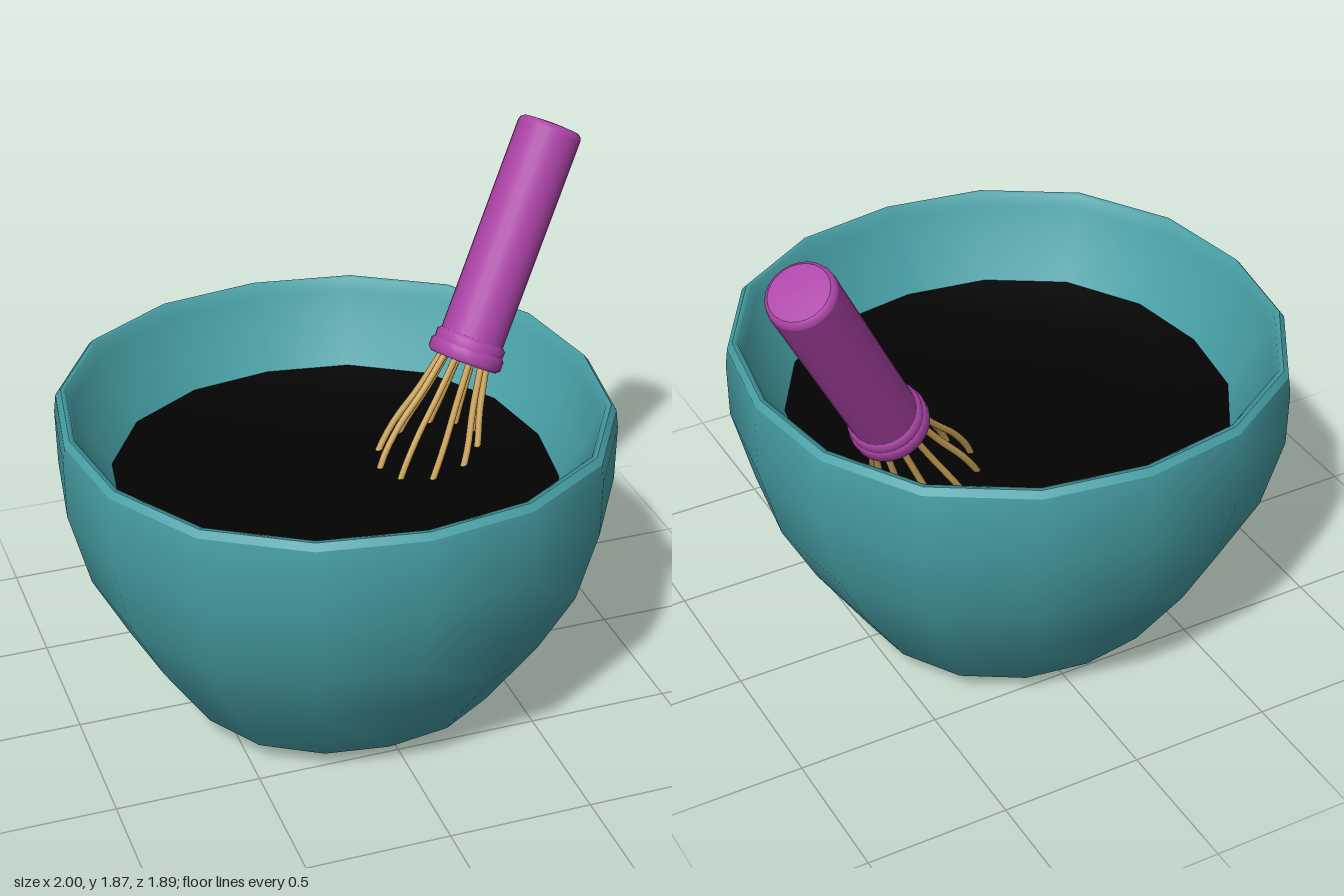
import * as THREE from 'three';

const SIDES = 16;

function material(name, color) {
  const m = new THREE.MeshStandardMaterial({ color });
  m.name = name;
  return m;
}

function lathe(name, points, sides, mat) {
  const geometry = new THREE.LatheGeometry(points.map(([r, y]) => new THREE.Vector2(r, y)), sides);
  const mesh = new THREE.Mesh(geometry, mat);
  mesh.name = name;
  return mesh;
}

// Push a round part out a little on its diagonals
function squareOff(mesh, amount) {
  const p = mesh.geometry.attributes.position;
  for (let i = 0; i < p.count; i++) {
    const x = p.getX(i), z = p.getZ(i);
    const k = 1 + amount * Math.sin(2 * Math.atan2(x, z)) ** 2;
    p.setXYZ(i, x * k, p.getY(i), z * k);
  }
  return mesh;
}

function createBowl(teal, black) {
  const bowl = new THREE.Group();
  bowl.name = 'bowl';

  // From the middle of the base up to the rim
  bowl.add(lathe('bowlOutside', [
    [0, 0], [0.22, 0.005], [0.42, 0.02], [0.51, 0.04], [0.57, 0.075],
    [0.75, 0.35], [0.87, 0.58], [0.94, 0.85], [0.943, 1.05], [0.935, 1.115],
  ], SIDES, teal));
  // Bevelled edge
  bowl.add(lathe('bowlRim', [[0.935, 1.115], [0.917, 1.137]], SIDES, teal));
  // Over the rim and down the thickening wall to the mixture
  bowl.add(lathe('bowlInside', [
    [0.917, 1.137], [0.9, 1.135], [0.885, 1.09], [0.83, 0.97], [0.757, 0.848],
  ], SIDES, teal));
  // Dark mixture, dished toward the middle
  bowl.add(lathe('mixture', [
    [0.757, 0.848], [0.6, 0.8], [0.4, 0.77], [0.2, 0.757], [0, 0.755],
  ], SIDES, black));

  bowl.children.forEach((part) => squareOff(part, 0.032));
  bowl.position.x = -0.057;
  return bowl;
}

function createWhisk(purple, gold) {
  const whisk = new THREE.Group();
  whisk.name = 'whisk';

  // Straight handle with a narrow bevel at the end
  whisk.add(lathe('handle', [[0.115, 0.05], [0.116, 0.86]], 24, purple));
  whisk.add(lathe('handleBevel', [[0.116, 0.86], [0.112, 0.875], [0.1, 0.884]], 24, purple));
  whisk.add(lathe('handleEnd', [[0.1, 0.884], [0.05, 0.888], [0, 0.889]], 24, purple));

  // Stepped collar
  whisk.add(lathe('collarBottom', [[0, 0], [0.122, 0]], 24, purple));
  whisk.add(lathe('collarRing', [[0.122, 0], [0.135, 0.012], [0.135, 0.045], [0.126, 0.055]], 24, purple));
  whisk.add(lathe('collarStep', [[0.126, 0.055], [0.128, 0.08], [0.115, 0.092]], 24, purple));

  // Wire loops that bulge out below the collar and meet at the tip
  const profile = [[0.08, 0.02], [0.115, -0.14], [0.16, -0.3], [0.17, -0.45], [0.12, -0.6]];
  const loop = [
    ...profile, [0, -0.68],
    ...profile.slice().reverse().map(([r, y]) => [-r, y]),
  ].map(([r, y]) => new THREE.Vector3(r, y, 0));
  const wire = new THREE.TubeGeometry(new THREE.CatmullRomCurve3(loop), 40, 0.012, 8);
  for (let i = 0; i < 5; i++) {
    const mesh = new THREE.Mesh(wire, gold);
    mesh.name = 'whiskWire';
    mesh.rotation.y = (i * Math.PI) / 5 + 0.1;
    whisk.add(mesh);
  }

  // Lean toward the model's left and back
  const axis = new THREE.Vector3(0.53, 1, -0.295).normalize();
  whisk.quaternion.setFromUnitVectors(new THREE.Vector3(0, 1, 0), axis);
  whisk.position.set(0.502, 1.058, -0.23);
  return whisk;
}

export function createModel() {
  const teal = material('teal', 0x47a0a6);
  const black = material('black', 0x020202);
  const purple = material('purple', 0xac43a7);
  const gold = material('gold', 0xc89f55);

  const model = new THREE.Group();
  model.name = 'mixingBowlWithWhisk';
  model.add(createBowl(teal, black), createWhisk(purple, gold));
  return model;
}
